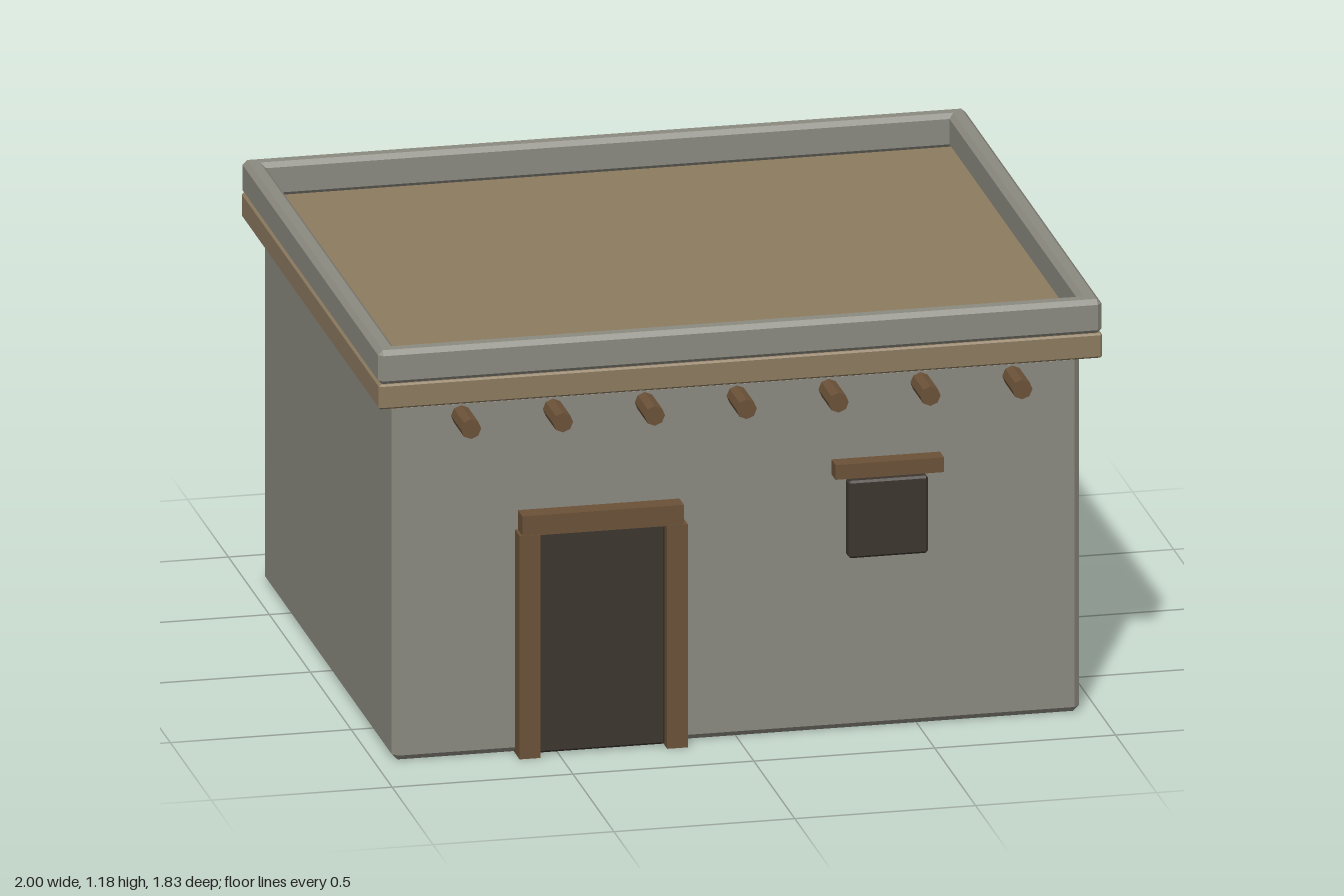
import * as THREE from 'three';
import { ConvexGeometry } from 'three/addons/geometries/ConvexGeometry.js';

const mat = (color) => new THREE.MeshStandardMaterial({ color, flatShading: true });

// Box with every edge cut by a flat chamfer c
function chamferBox(w, h, d, c) {
  const pts = [];
  for (const sx of [-1, 1]) for (const sy of [-1, 1]) for (const sz of [-1, 1]) {
    const x = w / 2, y = h / 2, z = d / 2;
    pts.push(
      new THREE.Vector3(sx * x, sy * (y - c), sz * (z - c)),
      new THREE.Vector3(sx * (x - c), sy * y, sz * (z - c)),
      new THREE.Vector3(sx * (x - c), sy * (y - c), sz * z));
  }
  return new ConvexGeometry(pts);
}

export function createModel() {
  const house = new THREE.Group();
  house.name = 'flatRoofHouse';
  const plaster = mat(0x8c8a80), clay = mat(0x8d7b60), wood = mat(0x6b5238), dark = mat(0x3d352f);

  // Adds a box from its extents; c = 0 gives sharp edges
  function block(name, material, [x0, x1], [y0, y1], [z0, z1], c = 0) {
    const size = [x1 - x0, y1 - y0, z1 - z0];
    const geo = c ? chamferBox(...size, c) : new THREE.BoxGeometry(...size);
    const mesh = new THREE.Mesh(geo, material);
    mesh.name = name;
    mesh.position.set((x0 + x1) / 2, (y0 + y1) / 2, (z0 + z1) / 2);
    house.add(mesh);
  }

  // Walls and roof slab
  block('walls', plaster, [-0.95, 0.95], [0, 1.02], [-0.79, 0.79], 0.016);
  block('roofSlab', clay, [-1, 1], [1.02, 1.09], [-0.84, 0.84], 0.005);

  // Parapet around the roof
  const t = 0.055, top = [1.087, 1.185], c = 0.013;
  block('parapetFront', plaster, [-1, 1], top, [0.84 - t, 0.84], c);
  block('parapetBack', plaster, [-1, 1], top, [-0.84, -0.84 + t], c);
  block('parapetLeft', plaster, [1 - t, 1], top, [-0.84, 0.84], c);
  block('parapetRight', plaster, [-1, -1 + t], top, [-0.84, 0.84], c);

  // Roof beams running through the house
  const beamGeo = new THREE.CylinderGeometry(0.028, 0.028, 1.826, 8).rotateX(Math.PI / 2);
  for (let i = -3; i <= 3; i++) {
    const beam = new THREE.Mesh(beamGeo, wood);
    beam.name = 'roofBeam';
    beam.position.set(i * 0.254, 0.972, 0);
    house.add(beam);
  }

  // Door with its frame
  block('door', dark, [-0.555, -0.205], [0.005, 0.635], [0.77, 0.822], 0.006);
  block('doorPostRight', wood, [-0.613, -0.555], [0, 0.635], [0.77, 0.847]);
  block('doorPostLeft', wood, [-0.205, -0.148], [0, 0.635], [0.77, 0.847]);
  block('doorLintel', wood, [-0.605, -0.158], [0.633, 0.69], [0.77, 0.845]);

  // Window with its lintel
  block('window', dark, [0.302, 0.522], [0.495, 0.715], [0.77, 0.825], 0.006);
  block('windowLintel', wood, [0.262, 0.562], [0.728, 0.77], [0.77, 0.84]);

  return house;
}
